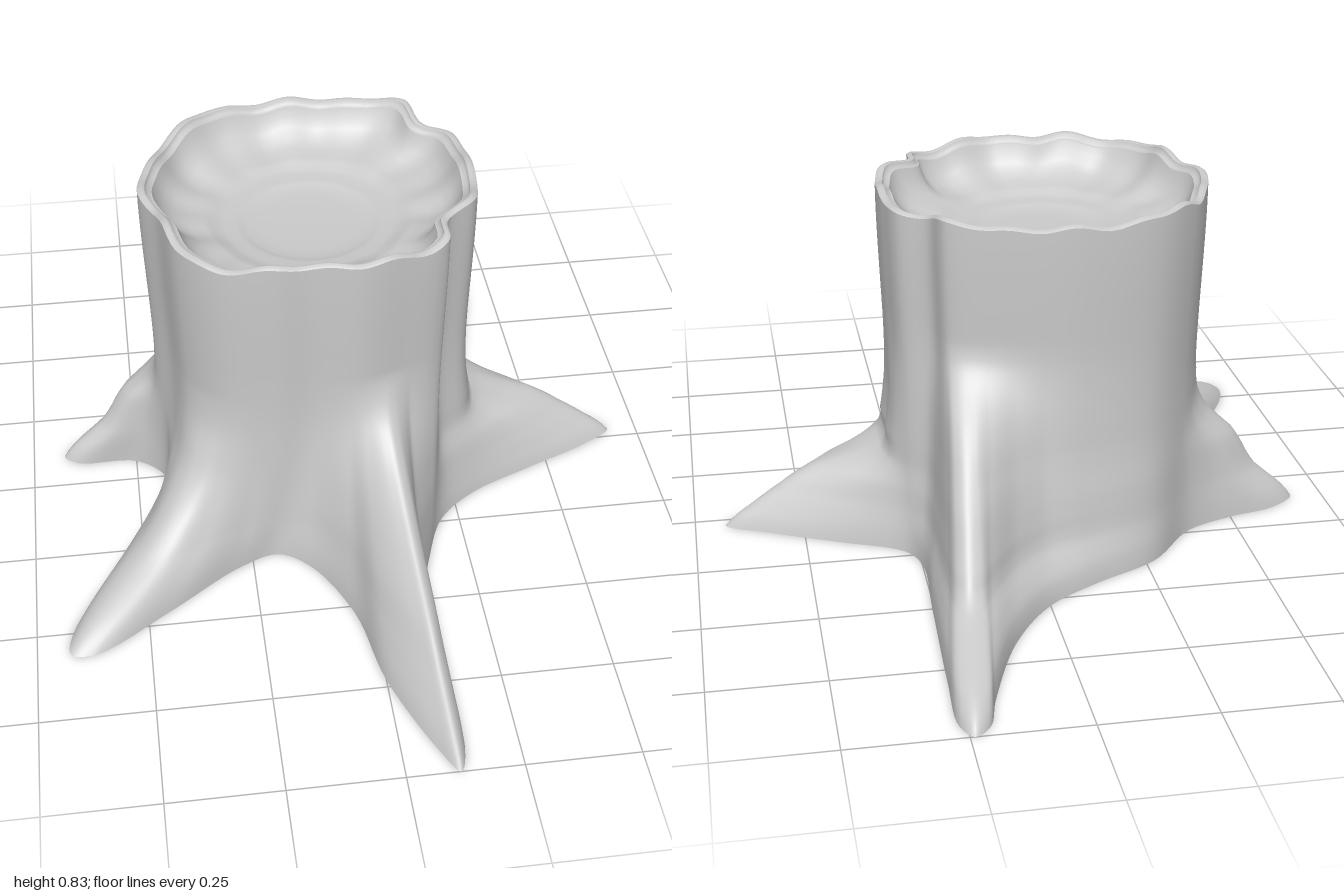
import * as THREE from 'three';

const CX = -0.07, CZ = -0.03, TOP = 0.808, STEPS = 7;

// Trunk cross-section [x, z], running from the left side round by the front
const TRUNK = [[.305, -.05], [.3, .04], [.28, .11], [.21, .17], [.2, .24], [.1, .295], [0, .325], [-.1, .31],
  [-.19, .315], [-.305, .28], [-.38, .2], [-.415, .07], [-.45, -.03], [-.415, -.17], [-.36, -.27], [-.27, -.35],
  [-.1, -.39], [.05, -.375], [.19, -.33], [.22, -.25], [.28, -.2], [.3, -.12]];

// Ground outline [x, z, matching position on the trunk section]
const GROUND = [[.68, -.03, 0], [.61, .02, .6], [.45, .09, 1.4], [.3, .16, 2.3], [.21, .24, 3.4], [.16, .36, 4.3],
  [.12, .52, 4.8], [.125, .75, 5], [.135, .93, 5.2], [.115, 1, 5.35], [.08, .94, 5.5], [0, .73, 5.8],
  [-.04, .52, 6.2], [-.12, .36, 6.9], [-.19, .31, 7.7], [-.28, .34, 8.4], [-.45, .46, 8.9], [-.62, .57, 9.3],
  [-.675, .565, 9.55], [-.67, .5, 9.8], [-.56, .3, 10.3], [-.46, .13, 10.9], [-.43, .01, 11.5],
  [-.5, -.065, 12], [-.64, -.075, 12.4], [-.675, -.105, 12.7], [-.61, -.16, 13.1], [-.5, -.19, 13.4],
  [-.385, -.24, 13.9], [-.27, -.37, 15], [-.12, -.45, 16], [0, -.53, 16.6], [.1, -.67, 17], [.18, -.88, 17.4],
  [.205, -.97, 17.6], [.24, -1, 17.8], [.265, -.96, 18], [.265, -.8, 18.2], [.255, -.5, 18.6],
  [.25, -.3, 19.2], [.28, -.23, 20], [.42, -.16, 20.6], [.59, -.08, 21.4]];

// Root reach at every 0.05 of height, at its position on the trunk section
const ROOTS = [
  { u: 0, reach: [1, .85, .67, .46, .07, .03, .01, 0, 0, 0, 0, 0] },
  { u: 5.35, reach: [1, .88, .74, .62, .48, .35, .23, .13, .06, .02, 0, 0] },
  { u: 9.55, reach: [1, .8, .5, .32, .2, .12, .07, .03, .01, 0, 0, 0] },
  { u: 12.7, reach: [1, .84, .62, .5, .38, .15, .03, .01, 0, 0, 0, 0] },
  { u: 17.8, reach: [1, .89, .58, .49, .42, .36, .29, .23, .16, .08, .02, 0] },
];
ROOTS.push({ u: TRUNK.length, reach: ROOTS[0].reach });

const closedCurve = pts => new THREE.CatmullRomCurve3(
  pts.map(([x, z]) => new THREE.Vector3(x, 0, z)), true, 'centripetal');

function reachAt(reach, y) {
  const t = y / 0.05, i = Math.floor(t), last = reach.length - 1;
  if (i >= last) return 0;
  const at = k => reach[Math.min(Math.max(k, 0), last)];
  const v = THREE.MathUtils.lerp(at(i), at(i + 1), t - i);
  const soft = (at(i - 1) + at(i + 2) - at(i) - at(i + 1)) / 4;
  return Math.max(0, v - soft * (t - i) * (1 - t + i));
}

// Reach for any column, blended between the two nearest roots
function columnReach(u, y) {
  let k = 0;
  while (k < ROOTS.length - 2 && u >= ROOTS[k + 1].u) k++;
  const a = ROOTS[k], b = ROOTS[k + 1];
  const w = THREE.MathUtils.smoothstep(u, a.u, b.u);
  return THREE.MathUtils.lerp(reachAt(a.reach, y), reachAt(b.reach, y), w);
}

// Columns pairing a ground point with a trunk point and rim height
function makeColumns() {
  const ground = closedCurve(GROUND), trunk = closedCurve(TRUNK);
  const n = GROUND.length * STEPS;
  return Array.from({ length: n }, (_, j) => {
    const i = Math.floor(j / STEPS), f = (j % STEPS) / STEPS;
    const next = i + 1 < GROUND.length ? GROUND[i + 1][2] : TRUNK.length;
    const u = THREE.MathUtils.lerp(GROUND[i][2], next, f);
    const rim = trunk.getPoint(u / TRUNK.length);
    const a = Math.atan2(rim.z - CZ, rim.x - CX);
    const wave = 0.005 * Math.sin(5 * a) + 0.005 * Math.sin(9 * a + 3) + 0.004 * Math.sin(16 * a + 2);
    return { base: ground.getPoint(j / n), rim, u, a, wave };
  });
}

// Closed skin over rings of points
function loft(rings) {
  const n = rings[0].length, index = [];
  for (let i = 0; i < rings.length - 1; i++) {
    for (let j = 0; j < n; j++) {
      const a = i * n + j, b = i * n + (j + 1) % n;
      index.push(a, a + n, b, b, a + n, b + n);
    }
  }
  const g = new THREE.BufferGeometry();
  g.setAttribute('position', new THREE.Float32BufferAttribute(
    rings.flat().flatMap(p => [p.x, p.y, p.z]), 3));
  g.setIndex(index);
  g.computeVertexNormals();
  return g;
}

export function createModel() {
  const group = new THREE.Group();
  group.name = 'treeStump';
  const material = new THREE.MeshStandardMaterial({ color: 0xcccccc, side: THREE.DoubleSide });
  const add = (name, geometry) => {
    const mesh = new THREE.Mesh(geometry, material);
    mesh.name = name;
    group.add(mesh);
  };
  const columns = makeColumns();

  // Bark: spreading roots that run up into the fluted trunk
  const heights = [];
  for (let y = 0; y < 0.56; y += 0.0125) heights.push(y);
  for (let k = 0; k <= 10; k++) heights.push(0.57 + (TOP - 0.57) * k / 10);
  add('barkAndRoots', loft(heights.map(y => {
    const s = 0.965 + 0.035 * THREE.MathUtils.smoothstep(y, 0.35, TOP);
    return columns.map(c => {
      const f = columnReach(c.u, y);
      return new THREE.Vector3(
        THREE.MathUtils.lerp(CX + (c.rim.x - CX) * s, c.base.x, f),
        y + c.wave * (y / TOP) ** 8,
        THREE.MathUtils.lerp(CZ + (c.rim.z - CZ) * s, c.base.z, f));
    });
  })));

  // Ring at a fraction of the rim, rounding off towards the middle
  const topRing = ([s, drop]) => columns.map(c => {
    const round = THREE.MathUtils.smoothstep(0.95 - s, 0, 0.45);
    const r = s * THREE.MathUtils.lerp(Math.hypot(c.rim.x - CX, c.rim.z - CZ), 0.355, round);
    return new THREE.Vector3(CX + r * Math.cos(c.a),
      TOP + drop + c.wave * (1 - round), CZ + r * Math.sin(c.a));
  });

  // Broken bark rim with a raised lip
  add('barkRim', loft([[1, 0], [0.975, 0.006], [0.955, 0.003]].map(topRing)));
  add('innerRim', loft([[0.955, 0.003], [0.945, -0.008], [0.915, -0.01]].map(topRing)));

  // Hollowed cut face with faint growth rings
  add('cutFace', loft([[0.915, -0.01], [0.895, -0.03], [0.86, -0.052], [0.81, -0.07], [0.74, -0.083],
    [0.66, -0.088], [0.62, -0.092], [0.58, -0.1], [0.53, -0.104], [0.47, -0.105], [0.43, -0.108],
    [0.39, -0.113], [0.3, -0.115], [0.15, -0.116], [0.001, -0.116]].map(topRing)));

  // Flat underside
  const outline = new THREE.Shape(columns.map(c => new THREE.Vector2(c.base.x, c.base.z)));
  add('underside', new THREE.ShapeGeometry(outline).rotateX(Math.PI / 2));

  return group;
}
